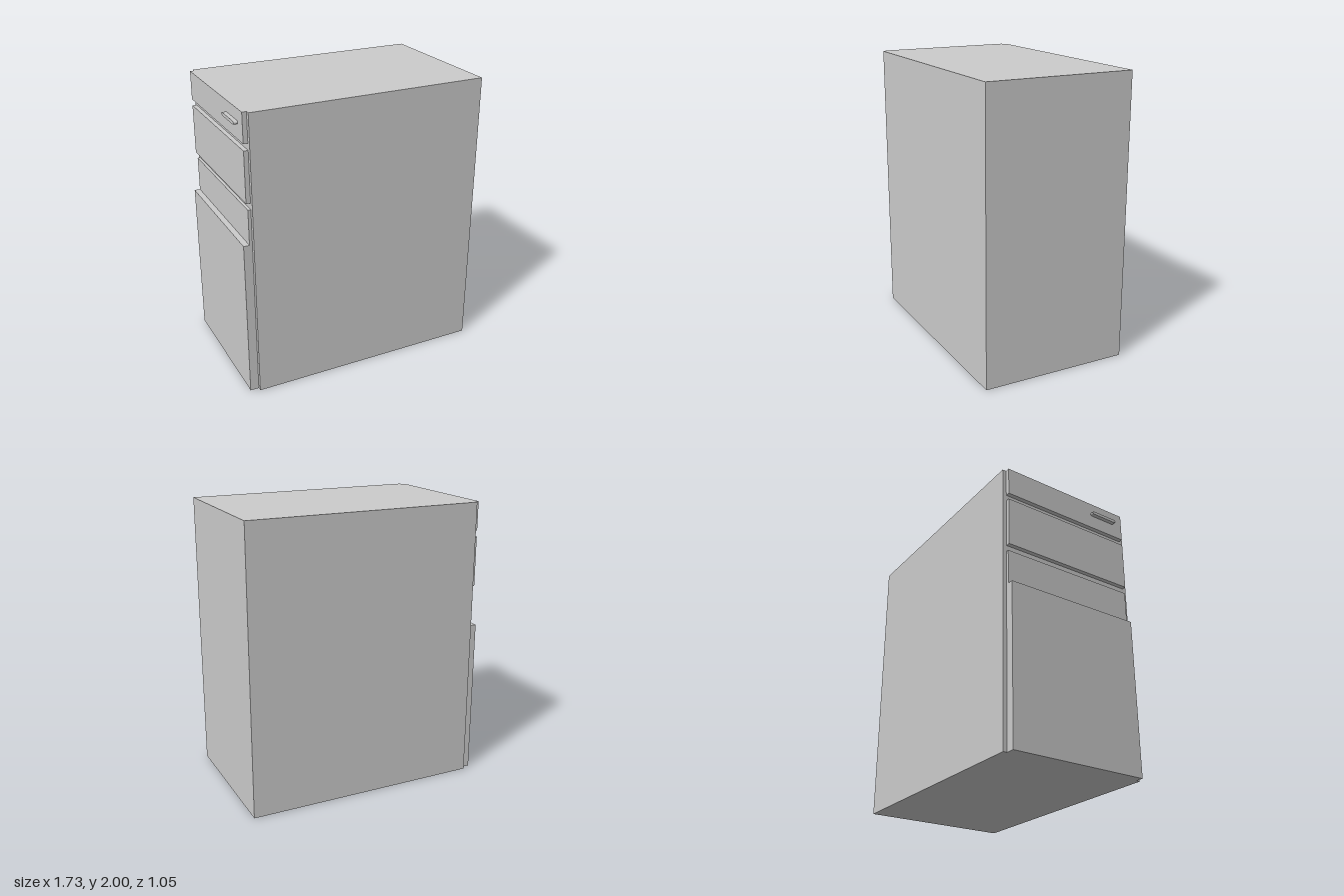
import * as THREE from 'three';

const material = new THREE.MeshStandardMaterial({ color: 0xcccccc });

// Box given by its limits on each axis
function box(name, [x0, x1], [y0, y1], [z0, z1]) {
  const mesh = new THREE.Mesh(new THREE.BoxGeometry(x1 - x0, y1 - y0, z1 - z0), material);
  mesh.position.set((x0 + x1) / 2, (y0 + y1) / 2, (z0 + z1) / 2);
  mesh.name = name;
  return mesh;
}

// Bar with round ends, standing out from the face at x = xFace towards -x
function pull(name, xFace, depth, y, zMid, length, height) {
  const r = height / 2, h = length / 2 - r;
  const shape = new THREE.Shape();
  shape.absarc(h, 0, r, -Math.PI / 2, Math.PI / 2);
  shape.absarc(-h, 0, r, Math.PI / 2, Math.PI * 1.5);
  const geometry = new THREE.ExtrudeGeometry(shape, { depth, bevelEnabled: false, curveSegments: 8 });
  geometry.rotateY(-Math.PI / 2);
  const mesh = new THREE.Mesh(geometry, material);
  mesh.position.set(xFace, y, zMid);
  mesh.name = name;
  return mesh;
}

export function createModel() {
  const group = new THREE.Group();
  group.name = 'drawerCabinet';
  const face = -0.805;

  group.add(box('cabinetBody', [face, 0.865], [0, 2], [-0.525, 0.525]));

  // Fronts on the -x side: name, outer x, bottom, top
  const fronts = [
    ['topDrawerFront', -0.835, 1.8, 2],
    ['middleDrawerFront', -0.835, 1.405, 1.755],
    ['lowerDrawerFront', -0.825, 1.115, 1.36],
    ['bottomDoorFront', -0.865, 0, 1.115],
  ];
  for (const [name, x, y0, y1] of fronts) {
    group.add(box(name, [x, face], [y0, y1], [-0.497, 0.497]));
  }

  // Small pull on the top drawer
  group.add(pull('topDrawerHandle', -0.835, 0.028, 1.911, 0.315, 0.21, 0.022));
  return group;
}
